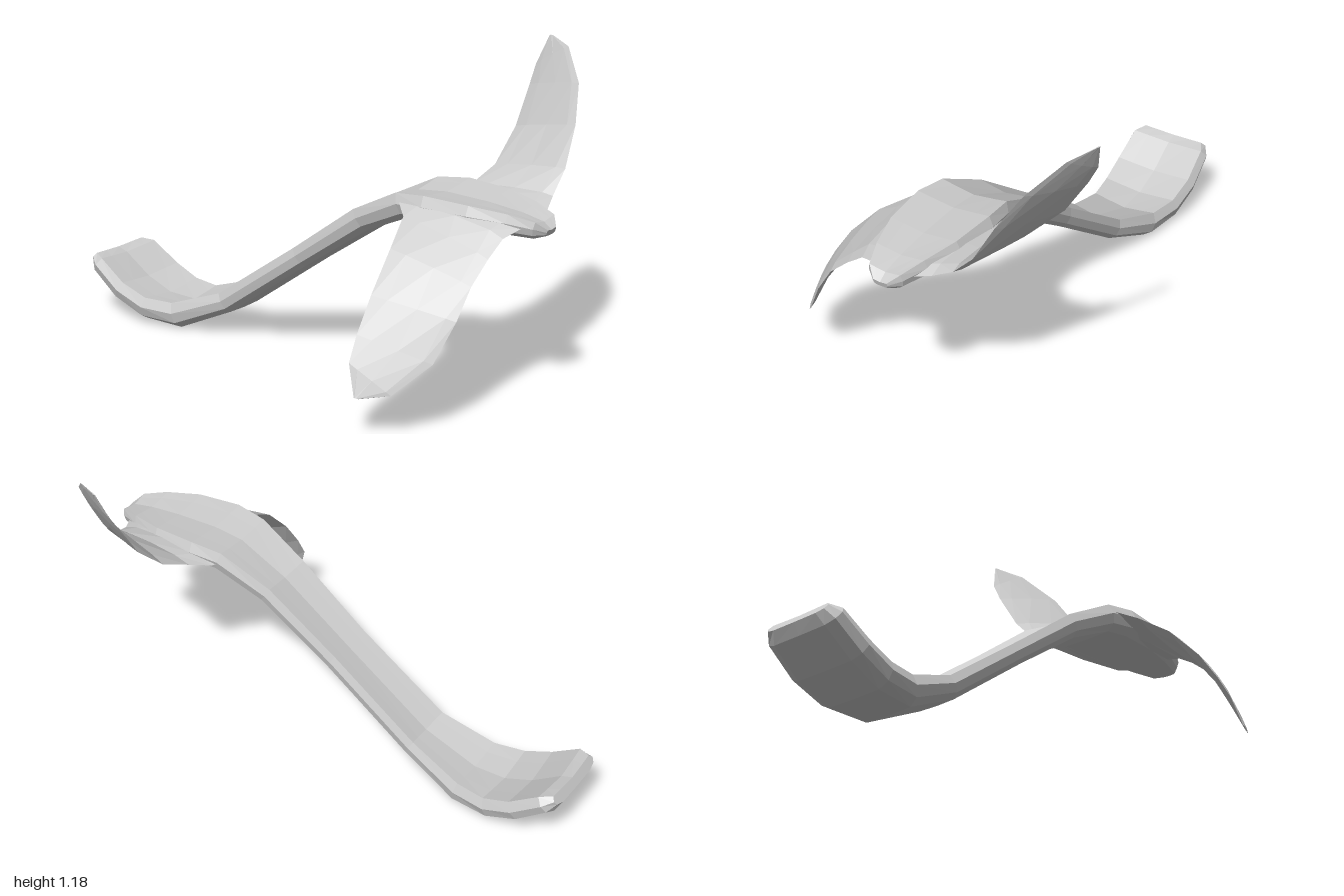
import * as THREE from 'three';

const material = new THREE.MeshStandardMaterial({ color: 0xcccccc, flatShading: true });
const V = (x, y, z) => new THREE.Vector3(x, y, z);

// Skin a row of equally sized closed rings and cap both ends
function loft(rings, name) {
  const n = rings[0].length, last = rings.length - 1;
  const points = rings.flat();
  const index = [];
  for (let i = 0; i < last; i++) {
    for (let j = 0; j < n; j++) {
      const k = (j + 1) % n;
      const a = i * n + j, b = i * n + k, c = b + n, d = a + n;
      index.push(a, d, b, b, d, c);
    }
  }
  [0, last].forEach((r) => {
    const centre = points.length;
    points.push(rings[r].reduce((s, p) => s.add(p), V(0, 0, 0)).divideScalar(n));
    for (let j = 0; j < n; j++) {
      const a = r * n + j, b = r * n + (j + 1) % n;
      index.push(centre, r ? b : a, r ? a : b);
    }
  });
  const geometry = new THREE.BufferGeometry().setFromPoints(points);
  geometry.setIndex(index);
  geometry.computeVertexNormals();
  const mesh = new THREE.Mesh(geometry, material);
  mesh.name = name;
  return mesh;
}

// Long curved body: z, y, half width, half thickness from nose to tail
function makeBody() {
  const stations = [
    [0.997, 0.652, 0.03, 0.012], [0.965, 0.662, 0.07, 0.032], [0.88, 0.675, 0.108, 0.04],
    [0.75, 0.685, 0.15, 0.046], [0.58, 0.69, 0.165, 0.05], [0.47, 0.68, 0.15, 0.05],
    [0.28, 0.59, 0.122, 0.045], [0, 0.395, 0.108, 0.04], [-0.35, 0.15, 0.115, 0.042],
    [-0.57, 0.062, 0.15, 0.053], [-0.71, 0.068, 0.172, 0.05], [-0.83, 0.118, 0.18, 0.047],
    [-0.945, 0.2, 0.172, 0.042], [-0.98, 0.225, 0.145, 0.022],
  ];
  // Right half of the cross-section, with a dished top and rounded underside
  const half = [[0.7, -0.95], [0.93, -0.5], [1, 0.25], [0.9, 1], [0.55, 0.85]];
  const section = [
    [0, -1], ...half, [0, 0.65], ...half.slice().reverse().map(([x, y]) => [-x, y]),
  ];
  const rings = stations.map(([z, y, w, t], i) => {
    const p = stations[Math.max(i - 1, 0)];
    const q = stations[Math.min(i + 1, stations.length - 1)];
    const up = V(0, p[0] - q[0], q[1] - p[1]).normalize();
    return section.map(([u, v]) => V(u * w, y, z).addScaledVector(up, v * t));
  });
  return loft(rings, 'body');
}

// Twisted blade from pairs of leading and trailing edge points
function makeBlade(edges, name) {
  const stations = edges.map(([f, r, t]) => ({ f: V(...f), r: V(...r), t }));
  const section = [[0, 0], [0.12, 0.7], [0.45, 1], [0.8, 0.7], [1, 0], [0.8, -0.7], [0.45, -1], [0.12, -0.7]];
  const middle = (s) => s.f.clone().lerp(s.r, 0.5);
  const rings = stations.map((s, i) => {
    const p = stations[Math.max(i - 1, 0)];
    const q = stations[Math.min(i + 1, stations.length - 1)];
    const span = middle(q).sub(middle(p));
    const up = s.f.clone().sub(s.r).cross(span).normalize();
    return section.map(([u, v]) => s.f.clone().lerp(s.r, u).addScaledVector(up, v * s.t));
  });
  return loft(rings, name);
}

export function createModel() {
  const model = new THREE.Group();
  model.name = 'model';
  model.add(makeBody());

  // Raised blade: leading edge, trailing edge, half thickness
  model.add(makeBlade([
    [[0.08, 0.67, 0.93], [0.1, 0.68, 0.45], 0.03],
    [[0.14, 0.68, 0.9], [0.16, 0.68, 0.48], 0.027],
    [[0.21, 0.71, 0.88], [0.22, 0.695, 0.54], 0.015],
    [[0.29, 0.79, 0.88], [0.33, 0.75, 0.57], 0.011],
    [[0.37, 0.93, 0.87], [0.45, 0.87, 0.58], 0.009],
    [[0.455, 1.06, 0.83], [0.54, 1.01, 0.58], 0.008],
    [[0.55, 1.165, 0.73], [0.577, 1.08, 0.583], 0.005],
    [[0.602, 1.187, 0.635], [0.605, 1.185, 0.62], 0.002],
  ], 'raisedBlade'));

  // Lowered blade
  model.add(makeBlade([
    [[-0.08, 0.67, 0.93], [-0.1, 0.69, 0.45], 0.035],
    [[-0.15, 0.645, 0.9], [-0.15, 0.7, 0.48], 0.028],
    [[-0.225, 0.59, 0.89], [-0.21, 0.675, 0.54], 0.015],
    [[-0.31, 0.515, 0.88], [-0.33, 0.595, 0.57], 0.011],
    [[-0.38, 0.41, 0.87], [-0.455, 0.465, 0.58], 0.009],
    [[-0.455, 0.275, 0.83], [-0.535, 0.35, 0.58], 0.008],
    [[-0.55, 0.172, 0.73], [-0.583, 0.265, 0.583], 0.005],
    [[-0.602, 0.155, 0.635], [-0.607, 0.158, 0.62], 0.002],
  ], 'loweredBlade'));

  return model;
}
